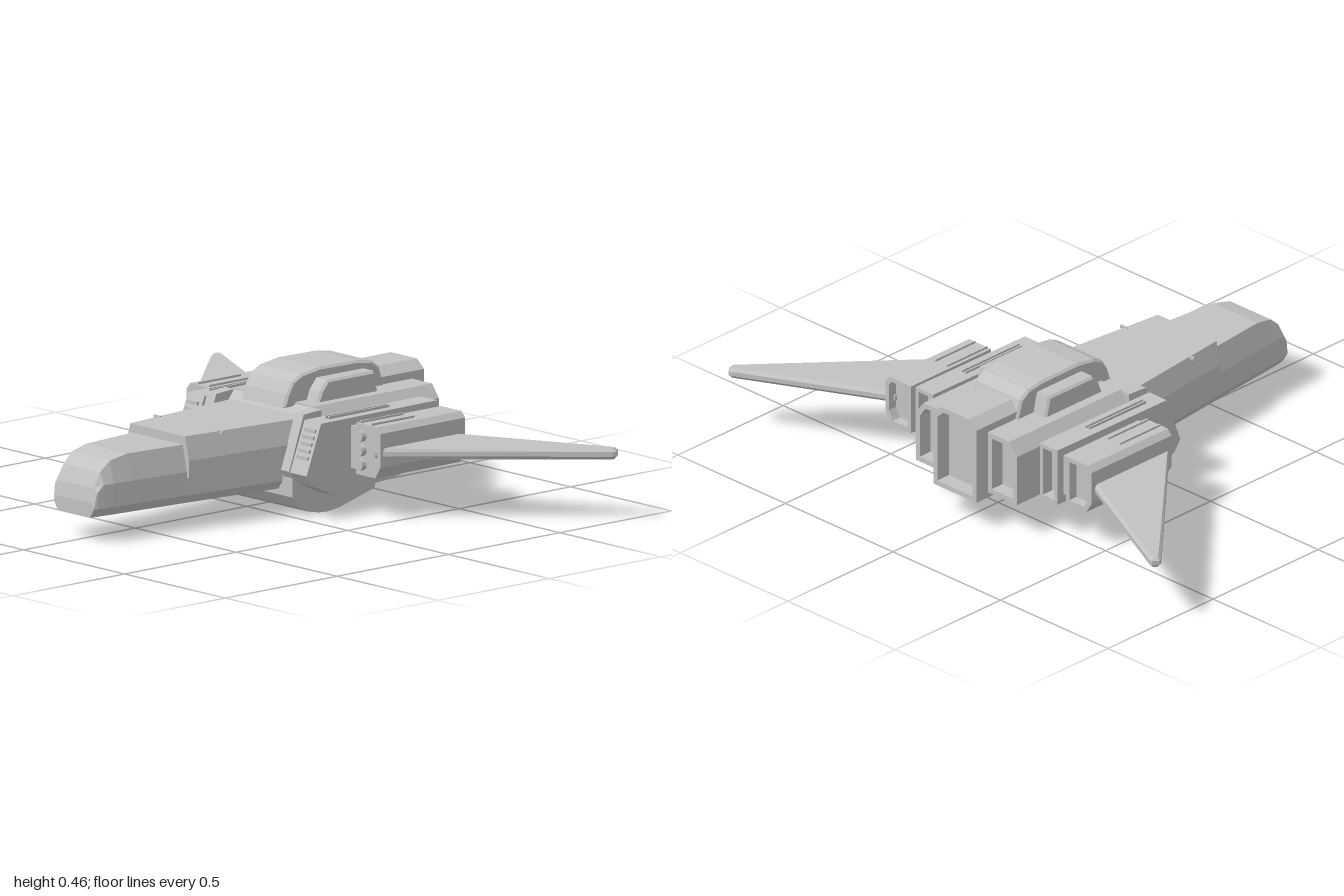
import * as THREE from 'three';

const hull = new THREE.MeshStandardMaterial({ color: 0xc2c2c2, flatShading: true });
hull.name = 'hullGrey';

const toShape = (pts) => new THREE.Shape(pts.map(([a, b]) => new THREE.Vector2(a, b)));

function extrude(shape, depth, bevel = 0, thick = bevel) {
  return new THREE.ExtrudeGeometry(shape, {
    depth: depth - 2 * thick, bevelEnabled: bevel > 0, bevelSize: bevel,
    bevelOffset: -bevel, bevelThickness: thick, bevelSegments: 1,
  }).translate(0, 0, thick);
}

// Outline in [z, y], spread across x0..x1
const sideBlock = (pts, x0, x1, bevel = 0) =>
  extrude(toShape(pts), x1 - x0, bevel).rotateY(-Math.PI / 2).translate(x1, 0, 0);

// Outline in [x, y], spread along z0..z1
const frontBlock = (pts, z0, z1, bevel = 0) =>
  extrude(toShape(pts), z1 - z0, bevel).translate(0, 0, z0);

const box = (x0, x1, y0, y1, z0, z1) =>
  new THREE.BoxGeometry(x1 - x0, y1 - y0, z1 - z0)
    .translate((x0 + x1) / 2, (y0 + y1) / 2, (z0 + z1) / 2);

// Hollow rear frame: the outline shrunk towards its middle makes the hole
function frame(pts, z0, z1, rim) {
  const xs = pts.map((p) => p[0]), ys = pts.map((p) => p[1]);
  const cx = (Math.min(...xs) + Math.max(...xs)) / 2, cy = (Math.min(...ys) + Math.max(...ys)) / 2;
  const sx = 1 - rim / (Math.max(...xs) - cx), sy = 1 - rim / (Math.max(...ys) - cy);
  const shape = toShape(pts);
  shape.holes.push(new THREE.Path(pts.map(([x, y]) =>
    new THREE.Vector2(cx + (x - cx) * sx, cy + (y - cy) * sy)).reverse()));
  return extrude(shape, z1 - z0).translate(0, 0, z0);
}

// Skin over cross-sections ordered back to front, each anticlockwise from the front
function loft(sections) {
  const n = sections[0].length, pos = sections.flat(2), idx = [];
  for (let s = 0; s < sections.length - 1; s++) {
    for (let i = 0; i < n; i++) {
      const a = s * n + i, b = s * n + (i + 1) % n;
      idx.push(a, b, b + n, a, b + n, a + n);
    }
  }
  const f = (sections.length - 1) * n;
  for (let i = 1; i < n - 1; i++) idx.push(0, i + 1, i, f, f + i, f + i + 1);
  const g = new THREE.BufferGeometry();
  g.setAttribute('position', new THREE.Float32BufferAttribute(pos, 3));
  g.setIndex(idx);
  const out = g.toNonIndexed();
  out.computeVertexNormals();
  return out;
}

// Copy on the other side, with corner order corrected
function mirrored(geo) {
  const g = geo.index ? geo.toNonIndexed() : geo.clone();
  g.scale(-1, 1, 1);
  const p = g.attributes.position, v = new THREE.Vector3(), w = new THREE.Vector3();
  for (let i = 0; i < p.count; i += 3) {
    v.fromBufferAttribute(p, i + 1);
    w.fromBufferAttribute(p, i + 2);
    p.setXYZ(i + 1, w.x, w.y, w.z);
    p.setXYZ(i + 2, v.x, v.y, v.z);
  }
  g.computeVertexNormals();
  return g;
}

export function createModel() {
  const model = new THREE.Group();
  model.name = 'spaceFighter';
  const add = (name, geo) => {
    const m = new THREE.Mesh(geo, hull);
    m.name = name;
    model.add(m);
  };
  const pair = (name, geo) => {
    add(name + 'Left', geo);
    add(name + 'Right', mirrored(geo));
  };

  // Nose: [z, half width, top height]
  const noseRing = ([z, w, top]) => {
    const mid = Math.min(0.2, top - 0.015);
    return [[-w + 0.02, 0.09, z], [w - 0.02, 0.09, z], [w, 0.12, z], [w, mid, z],
      [w - 0.02, top, z], [-w + 0.02, top, z], [-w, mid, z], [-w, 0.12, z]];
  };
  add('nose', loft([
    [-0.15, 0.2, 0.29], [0, 0.19, 0.29], [0.4, 0.145, 0.29], [0.63, 0.122, 0.29],
    [0.7, 0.115, 0.275], [0.74, 0.11, 0.24], [0.765, 0.105, 0.19], [0.775, 0.1, 0.14],
  ].map(noseRing)));

  // Raised cockpit deck wrapped over the back of the nose
  const deckRing = (z, w, low) => [[-w, low, z], [w, low, z], [w, 0.24, z],
    [w - 0.02, 0.32, z], [-w + 0.02, 0.32, z], [-w, 0.24, z]];
  add('deck', loft([deckRing(-0.15, 0.212, 0.14), deckRing(0.02, 0.197, 0.155), deckRing(0.4, 0.156, 0.18)]));
  pair('deckStep', box(0.14, 0.172, 0.312, 0.323, 0.255, 0.262));

  // Main body with a recessed rear on each side of the centre block
  add('body', sideBlock([[-0.08, 0.13], [-0.08, 0.3], [-0.12, 0.35], [-0.6, 0.355], [-0.6, 0.13]], -0.2, 0.2));
  const bodyRear = [[0.1, 0.13], [0.235, 0.13], [0.235, 0.31], [0.2, 0.355], [0.1, 0.355]];
  pair('bodySide', frontBlock(bodyRear, -0.6, -0.12));
  pair('bodyRearFrame', frame(bodyRear, -0.65, -0.6, 0.018));

  // Belly keel
  add('belly', sideBlock([[0.01, 0.14], [0.01, 0.07], [-0.02, 0.03], [-0.06, 0.012], [-0.11, 0.002],
    [-0.15, 0], [-0.2, 0.006], [-0.36, 0.05], [-0.36, 0.1], [-0.5, 0.14]], -0.238, 0.238));

  // Centre rear block
  const tail = [[-0.1, 0.11], [0.1, 0.11], [0.1, 0.38], [0.065, 0.41], [-0.065, 0.41], [-0.1, 0.38]];
  add('tailBlock', frontBlock(tail, -0.65, -0.4));
  add('tailFrame', frame(tail, -0.705, -0.65, 0.018));

  // Dorsal canopy and its side ridges
  add('canopy', sideBlock([[-0.07, 0.34], [-0.085, 0.385], [-0.11, 0.425], [-0.15, 0.445], [-0.23, 0.457],
    [-0.4, 0.455], [-0.465, 0.445], [-0.5, 0.42], [-0.525, 0.34]], -0.108, 0.108, 0.008));
  pair('canopyRidge', sideBlock([[-0.165, 0.34], [-0.185, 0.39], [-0.215, 0.425],
    [-0.425, 0.425], [-0.445, 0.34]], 0.09, 0.165, 0.008));

  // Shoulders with sloping fronts, louvres and hollow rears
  pair('shoulderInner', sideBlock([[0.025, 0.16], [-0.04, 0.345], [-0.12, 0.35], [-0.12, 0.1], [0, 0.12]], 0.195, 0.238));
  pair('shoulder', sideBlock([[0.03, 0.16], [-0.035, 0.33], [-0.51, 0.333], [-0.51, 0.13],
    [-0.36, 0.1], [-0.1, 0.075], [0, 0.12]], 0.248, 0.33));
  pair('shoulderCore', box(0.2, 0.26, 0.13, 0.315, -0.51, -0.06));
  pair('shoulderRearFrame', frame([[0.248, 0.13], [0.33, 0.13], [0.33, 0.333], [0.248, 0.333]], -0.555, -0.51, 0.014));
  for (let i = 0; i < 5; i++) {
    const y = 0.215 + i * 0.022, z = 0.03 - (y - 0.16) * 0.38;
    pair('louvre' + (i + 1), box(0.265, 0.318, y - 0.006, y + 0.006, z - 0.02, z + 0.007));
  }
  for (const x of [0.28, 0.295]) pair('shoulderRib', box(x - 0.003, x + 0.003, 0.325, 0.34, -0.37, -0.1));

  // Outer pods
  const pod = [[0.36, 0.145], [0.455, 0.145], [0.48, 0.185], [0.48, 0.3], [0.462, 0.32], [0.36, 0.32]];
  pair('pod', frontBlock(pod, -0.51, -0.165));
  pair('podRearFrame', frame(pod, -0.545, -0.51, 0.016));
  pair('podMount', box(0.32, 0.37, 0.16, 0.305, -0.525, -0.17));
  for (const x of [0.375, 0.43]) pair('podRib', box(x - 0.003, x + 0.003, 0.315, 0.327, -0.36, -0.17));
  for (const y of [0.183, 0.232, 0.281]) {
    const barrel = new THREE.CylinderGeometry(0.02, 0.02, 0.04, 12).rotateX(Math.PI / 2).translate(0.392, y, -0.165);
    pair('podBarrel', barrel);
  }

  // Swept wings with bevelled edges, outline in [x, -z]
  const wing = [[0.46, 0.155], [0.995, 0.74], [1, 0.755], [0.985, 0.775], [0.97, 0.773], [0.46, 0.52]];
  pair('wing', extrude(toShape(wing), 0.038, 0.01, 0.011).rotateX(-Math.PI / 2).translate(0, 0.211, 0));

  return model;
}
